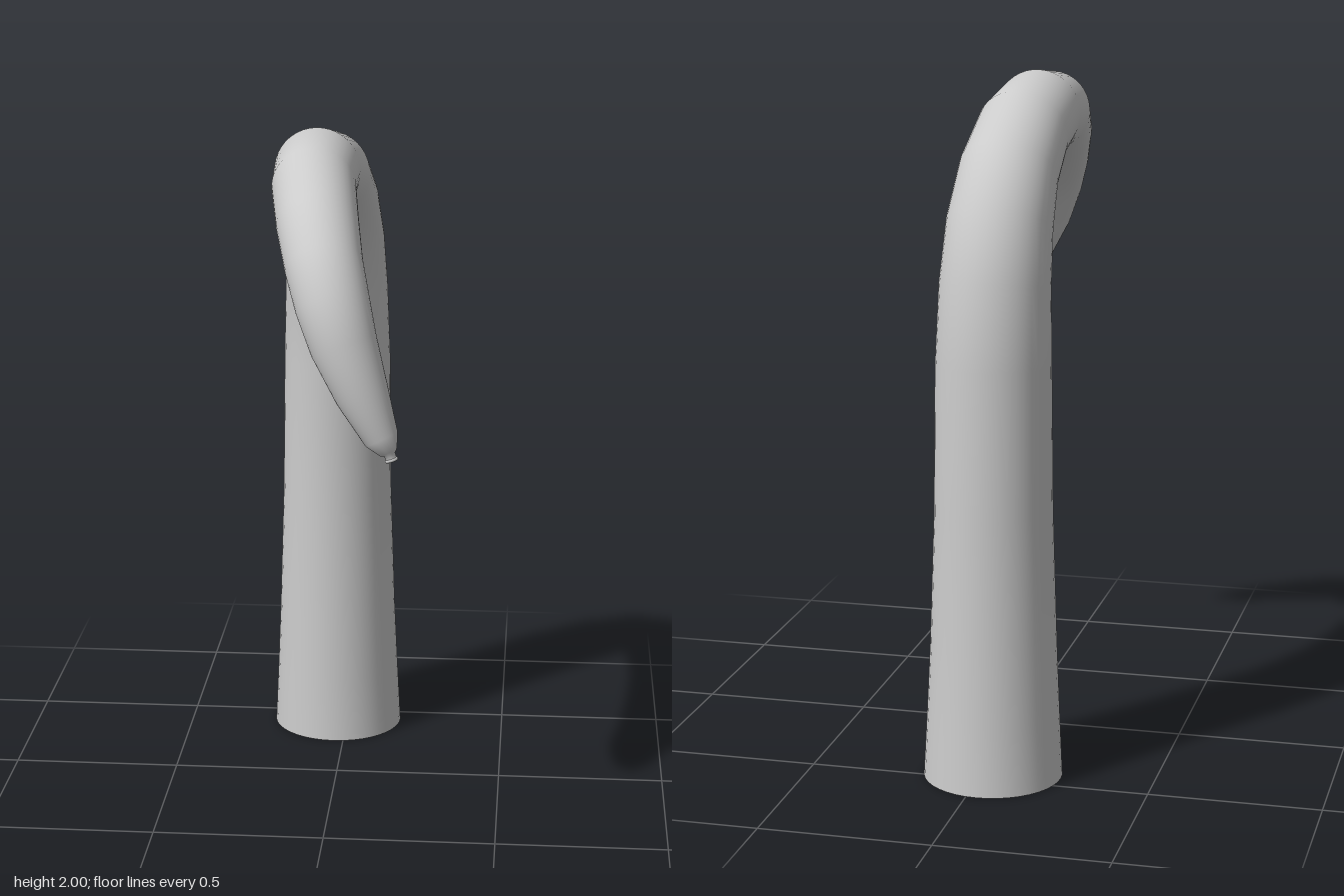
import * as THREE from 'three';

const SIDES = 40;
const WALL = 0.79; // bore radius relative to the outer radius

// Sections along the hook: x, y, z, radius
const SECTIONS = [
  [-0.03, 0, -0.44, 0.202],
  [-0.031, 0.2, -0.439, 0.192],
  [-0.032, 0.4, -0.438, 0.183],
  [-0.033, 0.8, -0.438, 0.17],
  [-0.033, 1.22, -0.436, 0.165],
  [-0.034, 1.445, -0.42, 0.158],
  [-0.036, 1.61, -0.373, 0.151],
  [-0.04, 1.743, -0.283, 0.142],
  [-0.048, 1.838, -0.148, 0.134],
  [-0.056, 1.875, 0.01, 0.126],
  [-0.052, 1.86, 0.173, 0.12],
  [-0.028, 1.785, 0.33, 0.116],
  [0.0, 1.69, 0.448, 0.109],
  [0.029, 1.598, 0.515, 0.104],
  [0.063, 1.49, 0.548, 0.094],
  [0.115, 1.36, 0.57, 0.075],
  [0.17, 1.24, 0.588, 0.049],
  [0.19, 1.203, 0.593, 0.026],
  [0.193, 1.197, 0.594, 0.016],
  [0.198, 1.182, 0.595, 0.016],
];

// Frames carried along the path without twisting
function makeFrames() {
  const pts = SECTIONS.map(([x, y, z]) => new THREE.Vector3(x, y, z));
  const last = pts.length - 1;
  const side = new THREE.Vector3(1, 0, 0);
  return pts.map((p, i) => {
    const a = pts[Math.max(i - 1, 0)], b = pts[Math.min(i + 1, last)];
    const t = i === 0 ? new THREE.Vector3(0, 1, 0)
      : p.clone().sub(a).normalize().add(b.clone().sub(p).normalize()).normalize();
    side.addScaledVector(t, -side.dot(t)).normalize();
    return { p, t, n: side.clone(), b: t.clone().cross(side), r: SECTIONS[i][3] };
  });
}

// Skin a list of [frame, radius] rings, smooth around and along
function skin(name, rings, material) {
  const pos = [], index = [];
  rings.forEach(([f, r], i) => {
    for (let j = 0; j < SIDES; j++) {
      const a = (j / SIDES) * Math.PI * 2;
      const v = f.p.clone().addScaledVector(f.n, r * Math.cos(a)).addScaledVector(f.b, r * Math.sin(a));
      pos.push(v.x, v.y, v.z);
      if (i === rings.length - 1) continue;
      const k = (j + 1) % SIDES, o = i * SIDES, q = o + SIDES;
      index.push(o + j, o + k, q + j, o + k, q + k, q + j);
    }
  });
  const g = new THREE.BufferGeometry();
  g.setAttribute('position', new THREE.Float32BufferAttribute(pos, 3));
  g.setIndex(index);
  g.computeVertexNormals();
  const mesh = new THREE.Mesh(g, material);
  mesh.name = name;
  return mesh;
}

export function createModel() {
  const group = new THREE.Group();
  group.name = 'curvedHook';
  const mat = new THREE.MeshStandardMaterial({ color: 0xcccccc });
  const frames = makeFrames();
  const base = frames[0], tip = frames[frames.length - 1];

  // Outer skin, hollow bore and the flat rim under the base
  group.add(skin('hookBody', frames.map((f) => [f, f.r]), mat));
  group.add(skin('bore', frames.map((f) => [f, f.r * WALL]).reverse(), mat));
  group.add(skin('baseRim', [[base, base.r * WALL], [base, base.r]], mat));

  // Small rolled lip around the opening at the tip
  const lip = new THREE.Mesh(new THREE.TorusGeometry(0.014, 0.005, 8, 24), mat);
  lip.name = 'tipLip';
  lip.position.copy(tip.p);
  lip.quaternion.setFromUnitVectors(new THREE.Vector3(0, 0, 1), tip.t);
  group.add(lip);
  return group;
}
